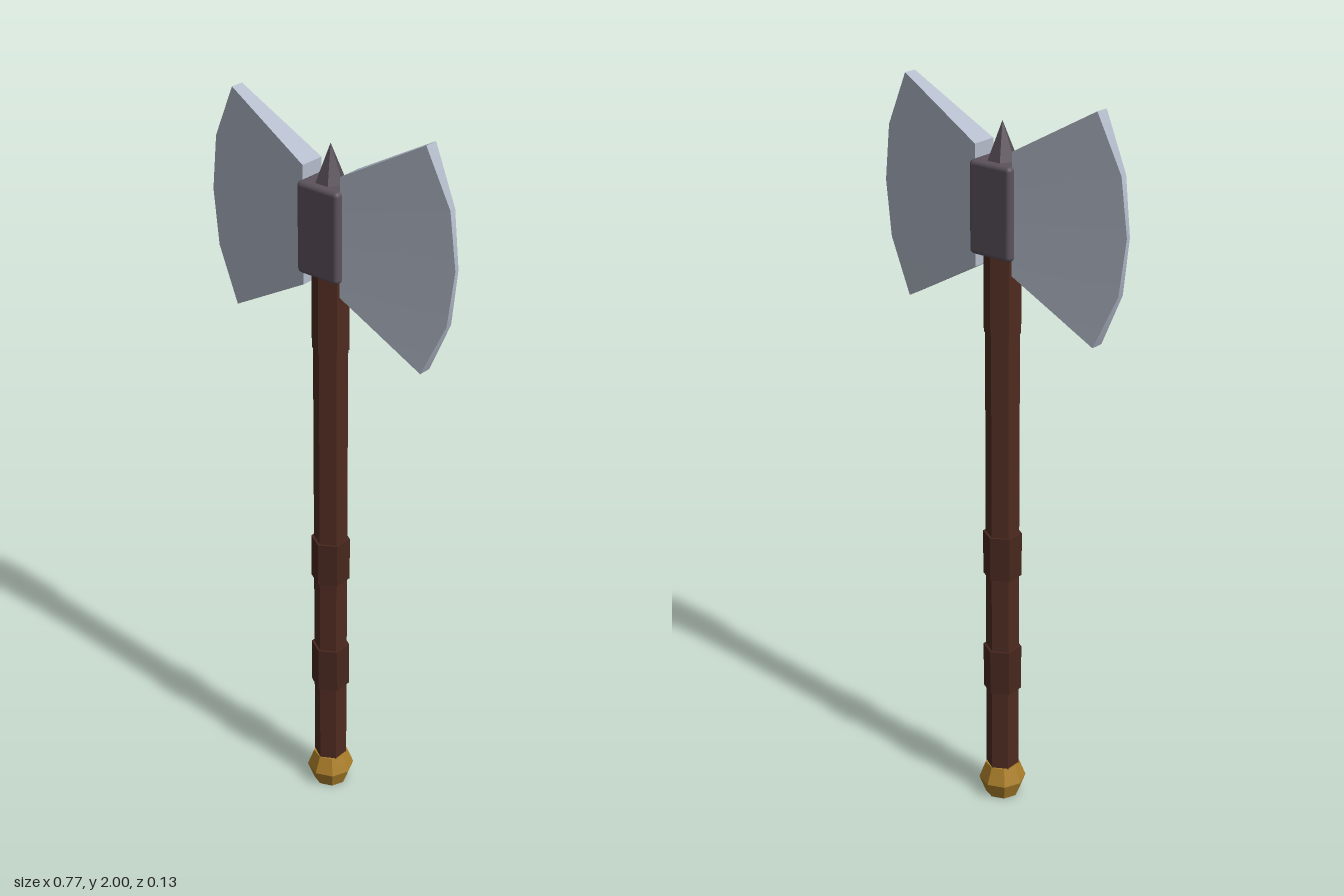
import * as THREE from 'three';
import { toCreasedNormals } from 'three/addons/utils/BufferGeometryUtils.js';
import { RoundedBoxGeometry } from 'three/addons/geometries/RoundedBoxGeometry.js';

const material = (name, color, flatShading = false) => {
  const m = new THREE.MeshStandardMaterial({ color, flatShading });
  m.name = name;
  return m;
};

// Blade on +x: rows of four-point cross-sections running from socket to cutting edge
function bladeGeometry() {
  const midY = 1.708, inX = 0.058, inHalf = 0.157, inThick = 0.035;
  // cutting edge points: x, y offset, half thickness
  const edge = [
    [0.298, -0.292, 0.018], [0.365, -0.148, 0.009], [0.383, 0, 0.006],
    [0.365, 0.148, 0.009], [0.298, 0.292, 0.018],
  ];
  const pos = [], index = [];
  edge.forEach(([x, dy, t], i) => {
    const iy = midY + inHalf * (i / 2 - 1);
    pos.push(inX, iy, inThick, x, midY + dy, t, x, midY + dy, -t, inX, iy, -inThick);
  });
  for (let i = 0; i < edge.length - 1; i++) {
    for (let k = 0; k < 4; k++) {
      const a = i * 4 + k, b = i * 4 + (k + 1) % 4;
      index.push(a, b, b + 4, a, b + 4, a + 4);
    }
  }
  const e = (edge.length - 1) * 4;
  index.push(0, 2, 1, 0, 3, 2, e, e + 1, e + 2, e, e + 2, e + 3);
  const g = new THREE.BufferGeometry();
  g.setAttribute('position', new THREE.Float32BufferAttribute(pos, 3));
  g.setIndex(index);
  return toCreasedNormals(g, 0.5);
}

export function createModel() {
  const group = new THREE.Group();
  group.name = 'doubleAxe';
  const wood = material('darkWood', 0x4e2b20, true);
  const leather = material('leather', 0x47271e, true);
  const gold = material('gold', 0xab7f2a, true);
  const iron = material('darkIron', 0x5c525c);
  const ironFlat = material('spikeIron', 0x544c54, true);
  const steel = material('steel', 0xb4bccb);

  const add = (name, geometry, mat, y = 0) => {
    const mesh = new THREE.Mesh(geometry, mat);
    mesh.name = name;
    mesh.position.y = y;
    group.add(mesh);
    return mesh;
  };
  const hexRod = (name, r, y0, y1, mat) =>
    add(name, new THREE.CylinderGeometry(r, r, y1 - y0, 6), mat, (y0 + y1) / 2);

  // Hexagonal shaft and its bands
  hexRod('shaft', 0.045, 0.05, 1.7, wood);
  hexRod('upperSleeve', 0.048, 1.38, 1.62, wood);
  hexRod('lowerGripBand', 0.052, 0.34, 0.47, leather);
  hexRod('upperGripBand', 0.052, 0.69, 0.815, leather);

  // Faceted pommel
  const profile = [[0, 0], [0.047, 0], [0.065, 0.048], [0.047, 0.096], [0, 0.096]];
  add('pommel', new THREE.LatheGeometry(profile.map(p => new THREE.Vector2(...p)), 8), gold);

  // Head socket and top spike
  add('headSocket', new RoundedBoxGeometry(0.13, 0.24, 0.108, 2, 0.012), iron, 1.709);
  add('topSpike', new THREE.ConeGeometry(0.04, 0.1, 6), ironFlat, 1.876).rotation.y = Math.PI / 6;

  // Pair of blades
  const blade = bladeGeometry();
  add('leftBlade', blade, steel);
  add('rightBlade', blade, steel).rotation.y = Math.PI;

  return group;
}
